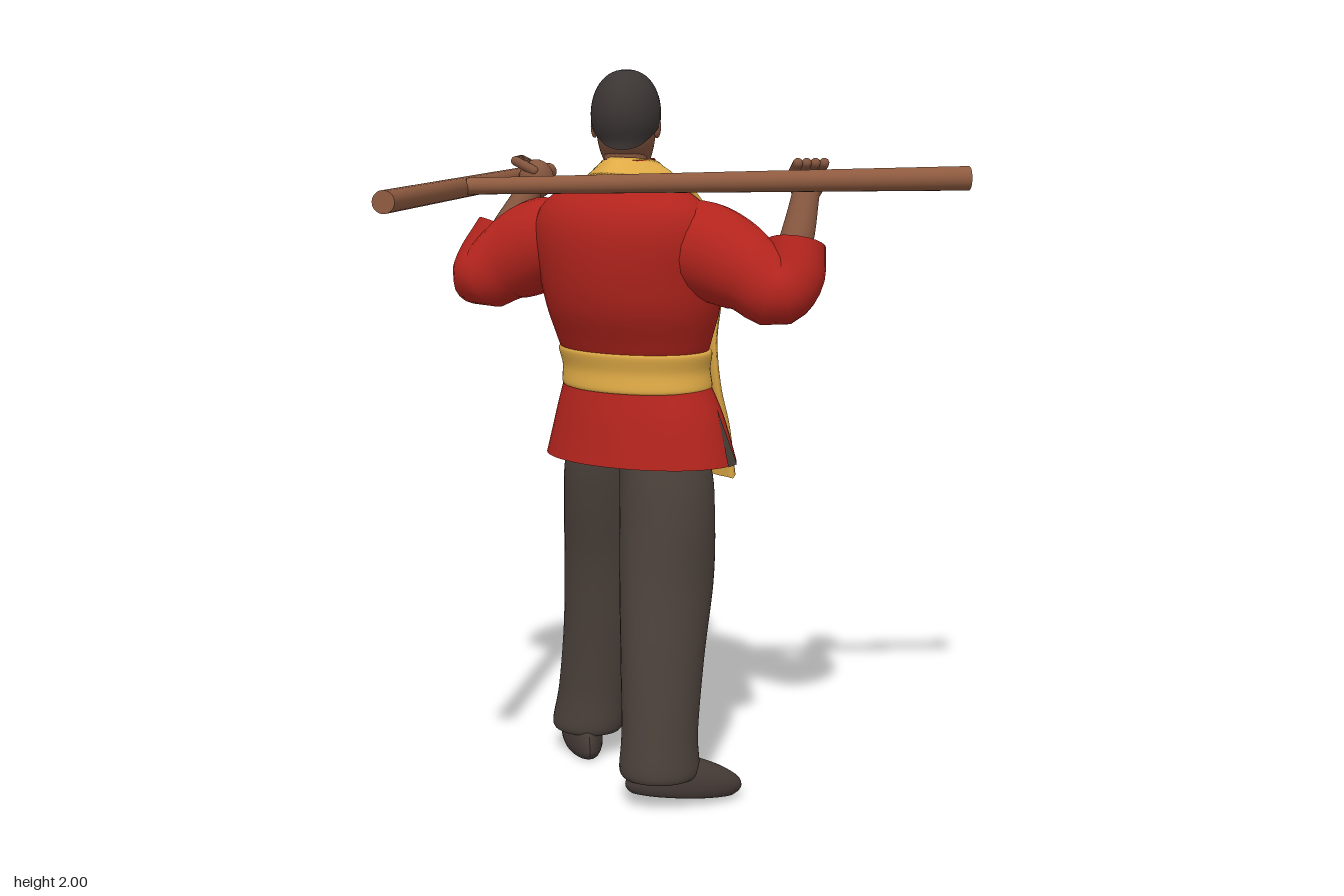
import * as THREE from 'three';

const mat = (name, color, side = THREE.FrontSide) => {
  const m = new THREE.MeshStandardMaterial({ color, side });
  m.name = name;
  return m;
};

// Smooth interpolation through rows of numbers, t from 0 to 1
function spline(rows, t) {
  const f = t * (rows.length - 1), i = Math.min(Math.floor(f), rows.length - 2), u = f - i;
  const at = k => rows[Math.max(0, Math.min(rows.length - 1, k))];
  return rows[0].map((_, c) => {
    const [a, b, d, e] = [at(i - 1)[c], at(i)[c], at(i + 1)[c], at(i + 2)[c]];
    return b + 0.5 * u * (d - a + u * (2 * a - 5 * b + 4 * d - e + u * (3 * (b - d) + e - a)));
  });
}

// Surface through equal rows of points, closed around if asked
function grid(rows, closed) {
  const n = rows[0].length, index = [];
  for (let i = 0; i < rows.length - 1; i++)
    for (let j = 0; j < (closed ? n : n - 1); j++) {
      const k = (j + 1) % n, a = i * n + j, b = a + n, c = i * n + k, d = c + n;
      index.push(a, b, c, b, d, c);
    }
  const g = new THREE.BufferGeometry();
  g.setAttribute('position', new THREE.Float32BufferAttribute(rows.flat(2), 3));
  g.setIndex(index);
  g.computeVertexNormals();
  return g;
}

// Elliptical sections [y, cx, cz, rx, rz], listed upward
function loft(sections, steps = 40, seg = 36) {
  const rows = [];
  for (let i = 0; i <= steps; i++) {
    const [y, cx, cz, rx, rz] = spline(sections, i / steps);
    rows.push(Array.from({ length: seg }, (_, j) => {
      const a = j / seg * Math.PI * 2;
      return [cx + rx * Math.cos(a), y, cz + rz * Math.sin(a)];
    }));
  }
  return grid(rows, true);
}

// Cloth strip through rows of six numbers (both edge points), with soft folds and thickness
function ribbon(rows, steps = 60, fold = 0, thick = 0) {
  const out = [];
  for (let i = 0; i <= steps; i++) {
    const p = spline(rows, i / steps);
    const face = [0, 0.2, 0.4, 0.6, 0.8, 1].map((u, j) =>
      [0, 1, 2].map(c => p[c] + (p[c + 3] - p[c]) * u + (c === 0 && j % 2 ? fold : 0)));
    const back = face.map(([x, y, z]) => [x - thick, y - thick / 2, z]).reverse();
    out.push(thick ? [...face, ...back] : face);
  }
  return grid(out, thick > 0);
}

// Round limb along a path with changing radius
function limb(points, radii) {
  const path = new THREE.CatmullRomCurve3(points.map(p => new THREE.Vector3(...p)));
  const n = 32, seg = 22, g = new THREE.TubeGeometry(path, n, 1, seg);
  const pos = g.attributes.position, v = new THREE.Vector3();
  for (let i = 0; i <= n; i++) {
    const c = path.getPointAt(i / n), r = spline(radii.map(x => [x]), i / n)[0];
    for (let j = 0; j <= seg; j++) {
      const k = i * (seg + 1) + j;
      v.fromBufferAttribute(pos, k).sub(c).multiplyScalar(r).add(c);
      pos.setXYZ(k, v.x, v.y, v.z);
    }
  }
  return g;
}

// Jacket sections, facing +x in the torso frame
const JACKET = [
  [0.925, 0.018, 0.015, 0.197, 0.285], [1.05, 0.018, 0.01, 0.175, 0.25], [1.18, 0.02, -0.005, 0.152, 0.207],
  [1.25, 0.01, -0.005, 0.168, 0.225], [1.35, -0.008, 0, 0.2, 0.252], [1.45, -0.018, 0, 0.215, 0.268],
  [1.55, -0.038, 0, 0.202, 0.275], [1.62, -0.055, 0, 0.17, 0.252], [1.67, -0.06, 0, 0.13, 0.195],
  [1.7, -0.05, 0, 0.09, 0.11], [1.72, -0.04, 0, 0.07, 0.075]];

// Point on the jacket at height y and angle a, pushed out by off
function onJacket(y, a, off) {
  const yy = Math.max(JACKET[0][0], y);
  const i = Math.min(JACKET.length - 2, JACKET.findLastIndex(s => s[0] <= yy));
  const u = (yy - JACKET[i][0]) / (JACKET[i + 1][0] - JACKET[i][0]);
  const s = JACKET[i].map((v, c) => v + (JACKET[i + 1][c] - v) * u);
  return [s[1] + (s[3] + off) * Math.cos(a), y, s[2] + (s[4] + off) * Math.sin(a)];
}
// Row of a hanging strip: height, sideways place, half width, distance off the jacket
const frontRow = ([y, l, hw, off]) =>
  [l - hw, l + hw].flatMap(z => onJacket(y, Math.asin(z / 0.25), off));

export function createModel() {
  const root = new THREE.Group();
  const M = {
    red: mat('red cloth', 0xb3241d, THREE.DoubleSide), yellow: mat('yellow sash', 0xe0ab46, THREE.DoubleSide),
    trouser: mat('dark trousers', 0x4a403a, THREE.DoubleSide), shoe: mat('shoe', 0x443a36),
    hair: mat('hair', 0x3b3533, THREE.DoubleSide), skin: mat('skin', 0x85563f), wood: mat('wood', 0x8f5b40)
  };
  const add = (parent, name, geo, m) => {
    const mesh = new THREE.Mesh(geo, m);
    mesh.name = name;
    parent.add(mesh);
    return mesh;
  };
  const group = (name, x, y, z, turn) => {
    const g = new THREE.Group();
    g.name = name;
    g.position.set(x, y, z);
    g.rotation.y = turn;
    root.add(g);
    return g;
  };

  // Torso: jacket, collar, slits, buttons, belt
  const torso = group('torso', 0.25, 0, 0.02, 0.28);
  add(torso, 'jacket', loft(JACKET, 60, 48), M.red);
  add(torso, 'collar', loft([[1.68, -0.035, 0, 0.085, 0.085], [1.72, -0.033, 0, 0.077, 0.077], [1.76, -0.03, 0, 0.07, 0.07]], 6), M.red);
  for (const [a, half, top] of [[Math.PI / 2, 0.13, 1.08], [-Math.PI / 2, 0.13, 1.08], [0.06, 0.04, 1.04]]) {
    const row = (y, h) => [...onJacket(y, a - h, 0.006), ...onJacket(y, a + h, 0.006)];
    add(torso, 'jacketSlit', ribbon([row(0.925, half), row(top, 0.002)], 8), M.trouser);
  }
  for (const y of [1.3, 1.4, 1.5, 1.6]) {
    const b = add(torso, 'button', new THREE.SphereGeometry(0.006, 10, 8), M.red);
    b.scale.z = 2.5;
    b.position.set(...onJacket(y, 0, -0.001));
  }
  add(torso, 'belt', loft([[1.125, 0.02, 0, 0.15, 0.2], [1.13, 0.02, 0, 0.168, 0.221], [1.18, 0.02, -0.003, 0.165, 0.218],
    [1.23, 0.016, -0.005, 0.17, 0.226], [1.237, 0.014, -0.005, 0.15, 0.2]], 24, 48), M.yellow);

  // Scarf: one strip over both shoulders and behind the neck
  const swapEdges = p => [...p.slice(3), ...p.slice(0, 3)];
  add(torso, 'scarf', ribbon([
    ...[[1.14, -0.1, 0.045, 0.055], [1.25, -0.1, 0.045, 0.06], [1.38, -0.1, 0.05, 0.052], [1.5, -0.1, 0.05, 0.045], [1.6, -0.1, 0.05, 0.038]].map(frontRow),
    [0.068, 1.675, -0.148, 0.053, 1.717, -0.06], [-0.03, 1.71, -0.135, -0.03, 1.757, -0.078],
    [-0.14, 1.73, 0, -0.1, 1.767, 0],
    [-0.03, 1.71, 0.135, -0.03, 1.757, 0.078], [0.068, 1.675, 0.148, 0.053, 1.717, 0.06],
    ...[[1.6, 0.1, 0.055, 0.03], [1.5, 0.115, 0.055, 0.026], [1.38, 0.12, 0.055, 0.026], [1.25, 0.125, 0.055, 0.038],
      [1.12, 0.122, 0.055, 0.042], [1, 0.115, 0.05, 0.038], [0.86, 0.113, 0.05, 0.038]].map(r => swapEdges(frontRow(r)))
  ], 110, 0.004, 0.016), M.yellow);
  // Belt knot and hanging tails
  const knot = add(torso, 'beltKnot', new THREE.SphereGeometry(0.04, 18, 14), M.yellow);
  knot.position.set(...onJacket(1.17, -0.55, 0.03));
  knot.scale.set(0.7, 1.1, 1);
  const tails = [
    [[1.19, -0.1, 0.02, 0.045], [1.08, -0.095, 0.038, 0.055], [0.9, -0.085, 0.045, 0.068], [0.69, -0.078, 0.045, 0.08]],
    [[1.18, -0.11, 0.02, 0.04], [1.05, -0.125, 0.03, 0.05], [0.85, -0.135, 0.036, 0.055], [0.625, -0.14, 0.036, 0.06]]];
  for (const t of tails) add(torso, 'beltTail', ribbon(t.map(frontRow), 30, 0.012, 0.016), M.yellow);

  // Head, turned further to its left
  const head = group('head', 0.225, 0, 0.01, 0.68);
  add(head, 'neck', new THREE.CylinderGeometry(0.057, 0.064, 0.16, 24), M.skin).position.set(-0.008, 1.74, 0);
  add(head, 'face', loft([[1.699, 0.058, 0, 0.001, 0.001], [1.703, 0.058, 0, 0.024, 0.024], [1.72, 0.048, 0, 0.05, 0.045],
    [1.757, 0.028, 0, 0.077, 0.065], [1.8, 0.01, 0, 0.095, 0.077], [1.85, 0.004, 0, 0.103, 0.083], [1.9, 0, 0, 0.106, 0.085],
    [1.95, -0.01, 0, 0.08, 0.07], [1.97, -0.01, 0, 0.001, 0.001]], 40), M.skin);
  // Hair cap: high at the brow, low at the nape
  const hairRows = [];
  for (let i = 0; i <= 16; i++)
    hairRows.push(Array.from({ length: 40 }, (_, j) => {
      const a = j / 40 * Math.PI * 2, back = (1 - Math.cos(a)) / 2;
      const p = (1 - i / 16) * (1.2 + 1.25 * Math.pow(back, 1.1)) + 0.001;
      const r = p < 1.57 ? Math.pow(Math.sin(p), 0.88) : Math.max(Math.sin(p), 0.82);
      return [-0.004 + 0.119 * r * Math.cos(a), 1.88 + 0.12 * Math.cos(p), 0.096 * r * Math.sin(a)];
    }));
  add(head, 'hair', grid(hairRows, true), M.hair);
  const nose = add(head, 'nose', new THREE.SphereGeometry(0.017, 14, 12), M.skin);
  nose.position.set(0.104, 1.826, 0);
  nose.scale.set(1, 1.5, 0.95);
  const lips = add(head, 'lips', new THREE.SphereGeometry(0.022, 14, 8), M.skin);
  lips.position.set(0.1, 1.775, 0);
  lips.scale.set(0.35, 0.4, 1);
  for (const s of [-1, 1]) {
    const ear = add(head, 'ear', new THREE.SphereGeometry(0.03, 14, 10), M.skin);
    ear.position.set(-0.005, 1.845, s * 0.086);
    ear.scale.set(0.6, 1, 0.35);
    const eye = add(head, 'eye', new THREE.SphereGeometry(0.01, 10, 8), M.hair);
    eye.position.set(0.096, 1.858, s * 0.036);
    eye.scale.set(0.3, 0.35, 1);
    eye.rotation.y = -s * 0.5;
    const brow = add(head, 'eyebrow', new THREE.BoxGeometry(0.006, 0.005, 0.03), M.hair);
    brow.position.set(0.096, 1.88, s * 0.038);
    brow.rotation.y = -s * 0.5;
  }

  // Arms: wide sleeve, forearm, fist with fingers
  const arms = [
    { sleeve: [[0.23, 1.53, 0.12], [0.29, 1.52, 0.24], [0.34, 1.46, 0.37], [0.37, 1.415, 0.435], [0.41, 1.45, 0.455], [0.445, 1.54, 0.44]],
      forearm: [[0.38, 1.43, 0.45], [0.46, 1.56, 0.43], [0.53, 1.68, 0.4]], fist: [0.537, 1.7, 0.393], turn: -0.653, out: 1 },
    { sleeve: [[0.18, 1.53, -0.12], [0.14, 1.515, -0.22], [0.1, 1.46, -0.33], [0.07, 1.415, -0.4], [0.095, 1.45, -0.42], [0.145, 1.54, -0.405]],
      forearm: [[0.09, 1.44, -0.42], [0.17, 1.55, -0.41], [0.245, 1.66, -0.395]], fist: [0.26, 1.682, -0.392], turn: 0.604, out: -1 }];
  for (const a of arms) {
    add(root, 'sleeve', limb(a.sleeve, [0.09, 0.13, 0.125, 0.102, 0.088, 0.08]), M.red);
    add(root, 'forearm', limb(a.forearm, [0.05, 0.046, 0.037]), M.skin);
    const hand = group('hand', ...a.fist, a.turn);
    add(hand, 'palm', new THREE.SphereGeometry(0.054, 18, 14), M.skin).scale.set(0.92, 1.05, 0.95);
    for (let i = 0; i < 4; i++) {
      const f = add(hand, 'finger', new THREE.CapsuleGeometry(0.014, 0.06, 4, 10), M.skin);
      f.position.set(-0.036 + i * 0.024, 0.04, a.out * 0.025);
      f.rotation.x = a.out * 1.1;
    }
  }

  // Trouser legs
  const legs = {
    rightLeg: [[0.085, 0.115, 0.265, 0.06, 0.06], [0.09, 0.115, 0.265, 0.112, 0.106], [0.2, 0.125, 0.255, 0.11, 0.102], [0.4, 0.17, 0.22, 0.125, 0.108],
      [0.6, 0.225, 0.18, 0.143, 0.12], [0.78, 0.25, 0.155, 0.138, 0.13], [0.92, 0.265, 0.13, 0.132, 0.122], [1.08, 0.265, 0.07, 0.1, 0.1]],
    leftLeg: [[0.075, 0.285, -0.197, 0.06, 0.06], [0.08, 0.285, -0.197, 0.097, 0.108], [0.2, 0.295, -0.182, 0.1, 0.106], [0.4, 0.305, -0.158, 0.115, 0.11],
      [0.6, 0.305, -0.137, 0.13, 0.12], [0.78, 0.29, -0.108, 0.145, 0.125], [0.92, 0.275, -0.085, 0.14, 0.127], [1.08, 0.265, -0.05, 0.1, 0.1]]
  };
  for (const name in legs) add(root, name, loft(legs[name], 50), M.trouser);

  // Shoes: flat-soled, low at the toe
  const shoe = (name, heel, toe, y, pitch) => {
    const dx = toe[0] - heel[0], dz = toe[1] - heel[1], half = Math.hypot(dx, dz) / 2;
    const g = new THREE.SphereGeometry(1, 28, 20), p = g.attributes.position;
    for (let i = 0; i < p.count; i++) {
      const x = p.getX(i), h = p.getY(i);
      p.setXYZ(i, x * half, h > 0 ? h * (0.08 - 0.025 * x) : Math.max(h, -0.5) * 0.056, p.getZ(i) * (0.058 + 0.006 * x));
    }
    g.computeVertexNormals();
    const s = add(root, name, g, M.shoe);
    s.position.set((heel[0] + toe[0]) / 2, y, (heel[1] + toe[1]) / 2);
    s.rotation.set(0, Math.atan2(-dz, dx), pitch, 'YXZ');
  };
  shoe('rightShoe', [0.01, 0.235], [0.315, 0.39], 0.055, -0.1);
  shoe('leftShoe', [0.2, -0.1], [0.405, -0.375], 0.03, 0);

  // Two poles meeting behind the neck
  const pole = (name, a, b, ra, rb) => {
    const A = new THREE.Vector3(...a), B = new THREE.Vector3(...b), d = B.clone().sub(A);
    const m = add(root, name, new THREE.CylinderGeometry(rb, ra, d.length(), 20), M.wood);
    m.position.copy(A).addScaledVector(d, 0.5);
    m.quaternion.setFromUnitVectors(new THREE.Vector3(0, 1, 0), d.normalize());
  };
  pole('longPole', [-0.835, 1.71, 0.272], [0.628, 1.672, -0.737], 0.028, 0.027);
  pole('shortPole', [-0.25, 1.7, -0.11], [0.825, 1.712, 0.72], 0.022, 0.033);
  return root;
}
